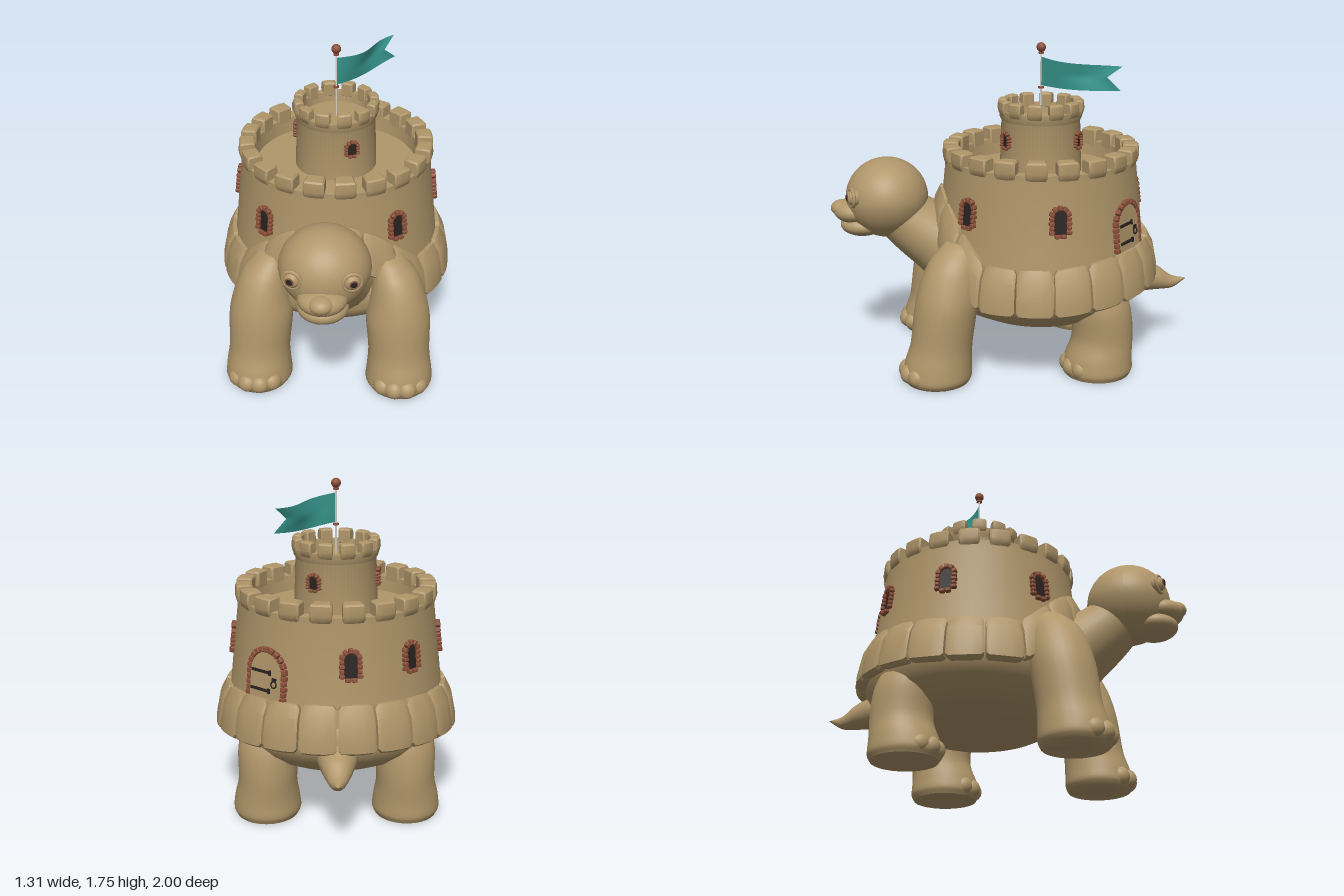
import * as THREE from 'three';
import { toCreasedNormals } from 'three/addons/utils/BufferGeometryUtils.js';
import { RoundedBoxGeometry } from 'three/addons/geometries/RoundedBoxGeometry.js';

const flat = (name, color, side = THREE.FrontSide) => {
  const m = new THREE.MeshStandardMaterial({ color, side });
  m.name = name;
  return m;
};

export function createModel() {
  const stone = flat('sandStone', 0xb0966a);
  const brick = flat('redBrick', 0x8c4f38);
  const dark = flat('darkOpening', 0x29221f);
  const teal = flat('tealCloth', 0x38998f, THREE.DoubleSide);
  const pale = flat('palePole', 0xdedbd2);
  const CZ = -0.155; // centre of shell and castle
  const model = new THREE.Group();
  model.name = 'castleTortoise';

  const add = (name, geo, mat, x = 0, y = 0, z = 0, parent = model) => {
    const m = new THREE.Mesh(geo, mat);
    m.name = name;
    m.position.set(x, y, z);
    parent.add(m);
    return m;
  };

  // Skin over closed loops of points, with a fan cap at both ends
  function skin(loops, crease) {
    const n = loops[0].length, pos = [], idx = [];
    loops.forEach(l => l.forEach(p => pos.push(p.x, p.y, p.z)));
    for (let j = 0; j < loops.length - 1; j++) for (let i = 0; i < n; i++) {
      const a = j * n + i, b = j * n + (i + 1) % n;
      idx.push(a, a + n, b + n, a, b + n, b);
    }
    [0, loops.length - 1].forEach((j, end) => {
      const c = loops[j].reduce((s, p) => s.add(p), new THREE.Vector3()).divideScalar(n);
      const k = pos.length / 3;
      pos.push(c.x, c.y, c.z);
      for (let i = 0; i < n; i++) {
        const a = j * n + i, b = j * n + (i + 1) % n;
        end ? idx.push(k, b, a) : idx.push(k, a, b);
      }
    });
    const g = new THREE.BufferGeometry();
    g.setAttribute('position', new THREE.Float32BufferAttribute(pos, 3));
    g.setIndex(idx);
    return toCreasedNormals(g, crease);
  }

  // Organic limb through elliptical rings [x, y, z, rx, rDepth, tilt]
  function limb(rings, steps = 24, sides = 28) {
    const mid = new THREE.CatmullRomCurve3(rings.map(r => new THREE.Vector3(r[0], r[1], r[2])));
    const size = new THREE.CatmullRomCurve3(rings.map(r => new THREE.Vector3(r[3], r[4], r[5] || 0)));
    const loops = [];
    for (let j = 0; j <= steps; j++) {
      const c = mid.getPoint(j / steps), s = size.getPoint(j / steps), loop = [];
      for (let i = 0; i < sides; i++) {
        const f = i / sides * Math.PI * 2, d = s.y * Math.sin(f);
        loop.push(new THREE.Vector3(c.x + s.x * Math.cos(f), c.y + d * Math.sin(s.z), c.z + d * Math.cos(s.z)));
      }
      loops.push(loop);
    }
    return skin(loops, 1.1);
  }

  // Block swept along an arc from a [radius, height] profile, softened at its ends
  function arcBlock(profile, a0, a1, warp = (a, r, y) => [r, y]) {
    const mr = profile.reduce((s, p) => s + p[0], 0) / profile.length;
    const my = profile.reduce((s, p) => s + p[1], 0) / profile.length;
    const loops = [[0, 0.84], [0.08, 1], [0.36, 1.02], [0.64, 1.02], [0.92, 1], [1, 0.84]].map(([t, k]) => {
      const a = a0 + (a1 - a0) * t;
      return profile.map(p => {
        const [r, y] = warp(a, mr + (p[0] - mr) * k, my + (p[1] - my) * k);
        return new THREE.Vector3(r * Math.sin(a), y, r * Math.cos(a));
      });
    });
    return skin(loops, 0.6);
  }

  const lathe = (pts, crease = 0.5, seg = 64) =>
    toCreasedNormals(new THREE.LatheGeometry(pts.map(p => new THREE.Vector2(p[0], p[1])), seg), crease);

  function ball(name, x, y, z, rx, ry, rz, mat = stone) {
    const m = add(name, new THREE.SphereGeometry(1, 32, 24), mat, x, y, z);
    m.scale.set(rx, ry, rz);
    return m;
  }

  // Belly and shell rim plates, the rim arching up over the neck
  add('belly', lathe([[0, 0.215], [0.12, 0.218], [0.25, 0.235], [0.37, 0.27], [0.47, 0.32], [0.55, 0.385],
    [0.6, 0.46], [0.59, 0.58], [0.5, 0.68]], 1), stone, 0, 0, CZ);
  const rimWarp = (a, r, y) => {
    const c = Math.cos(a), rise = Math.pow(Math.max(0, (c - 0.58) / 0.42), 1.2);
    return [r * (1 - 0.07 * rise), y + 0.31 * rise + 0.05 * Math.max(0, -c)];
  };
  const rim = [[0.56, 0.44], [0.635, 0.42], [0.655, 0.435], [0.652, 0.49], [0.63, 0.6], [0.595, 0.665], [0.545, 0.66]];
  const P = Math.PI / 10;
  for (let i = 0; i < 20; i++)
    add('shellPlate', arcBlock(rim, i * P + 0.008, (i + 1) * P - 0.008, rimWarp), stone, 0, 0, CZ);

  // Legs with toes
  for (const s of [1, -1]) {
    add('frontLeg', limb([[0.39 * s, 0.003, 0.44, 0.165, 0.17], [0.39 * s, 0.04, 0.44, 0.185, 0.185],
      [0.39 * s, 0.11, 0.435, 0.178, 0.18], [0.385 * s, 0.22, 0.415, 0.168, 0.165], [0.375 * s, 0.4, 0.39, 0.175, 0.168],
      [0.37 * s, 0.54, 0.365, 0.15, 0.16], [0.35 * s, 0.66, 0.34, 0.12, 0.13], [0.31 * s, 0.75, 0.3, 0.07, 0.08]]), stone);
    add('hindLeg', limb([[0.37 * s, 0.003, -0.43, 0.165, 0.175], [0.37 * s, 0.04, -0.43, 0.18, 0.19],
      [0.37 * s, 0.11, -0.435, 0.172, 0.182], [0.365 * s, 0.22, -0.455, 0.155, 0.165],
      [0.36 * s, 0.38, -0.44, 0.16, 0.165], [0.33 * s, 0.55, -0.4, 0.13, 0.14]]), stone);
    for (let i = 0; i < 4; i++) {
      const a = s * (-0.65 + i * 0.5), dx = Math.sin(a), dz = Math.cos(a);
      ball('frontToe', 0.39 * s + dx * 0.135, 0.06, 0.44 + dz * 0.155, 0.055, 0.055, 0.055);
      ball('hindToe', 0.37 * s + dx * 0.13, 0.058, -0.43 + dz * 0.155, 0.052, 0.053, 0.052);
    }
  }

  // Neck and tail
  add('neck', limb([[0, 0.5, 0.05, 0.36, 0.26, -0.7], [0, 0.59, 0.24, 0.27, 0.24, -0.75],
    [0, 0.69, 0.42, 0.215, 0.195, -0.8], [0, 0.8, 0.58, 0.18, 0.16, -0.8], [0, 0.9, 0.68, 0.16, 0.14, -0.8]]), stone);
  add('tail', limb([[0, 0.45, -0.58, 0.11, 0.09, 1.67], [0, 0.42, -0.74, 0.1, 0.088, 1.67],
    [0, 0.4, -0.84, 0.072, 0.066, 1.62], [0, 0.376, -0.92, 0.038, 0.035, 1.5], [0, 0.392, -1, 0.002, 0.002, 1.4]]), stone);

  // Head, narrowed towards the jaw
  const skull = new THREE.SphereGeometry(1, 40, 30), sp = skull.attributes.position;
  for (let i = 0; i < sp.count; i++) {
    const y = sp.getY(i), k = 0.235 * (1 - 0.1 * Math.max(0, -y));
    sp.setXYZ(i, sp.getX(i) * k, y * 0.22, sp.getZ(i) * 0.225);
  }
  skull.computeVertexNormals();
  add('head', skull, stone, 0, 0.92, 0.692);
  ball('upperLip', 0, 0.85, 0.87, 0.125, 0.068, 0.115);
  ball('nose', 0, 0.865, 0.935, 0.065, 0.045, 0.065);
  ball('lowerJaw', 0, 0.773, 0.825, 0.13, 0.064, 0.125);
  for (const s of [1, -1]) {
    const eye = new THREE.Group();
    eye.name = 'eye';
    eye.position.set(0.143 * s, 0.957, 0.86);
    eye.rotation.y = 0.3 * s;
    model.add(eye);
    const cap = (r, t) => new THREE.SphereGeometry(r, 20, 8, 0, Math.PI * 2, 0, t).rotateX(Math.PI / 2);
    add('eyeball', new THREE.SphereGeometry(0.045, 24, 16), stone, 0, 0, 0, eye);
    add('iris', cap(0.0465, 0.5), brick, 0, 0.005, 0, eye);
    add('pupil', cap(0.048, 0.34), dark, 0, 0.005, 0, eye);
    add('eyelid', new THREE.TorusGeometry(0.046, 0.01, 10, 28), stone, 0, 0, 0.014, eye);
  }

  // Keep and tower walls with sunken floors
  add('keepWall', lathe([[0.585, 0.55], [0.57, 0.68], [0.525, 1.1], [0.525, 1.145], [0.455, 1.145], [0.445, 1.06], [0, 1.06]]), stone, 0, 0, CZ);
  add('towerWall', lathe([[0.225, 1.05], [0.215, 1.34], [0.225, 1.36], [0.225, 1.395], [0.188, 1.395], [0.182, 1.34], [0, 1.34]]), stone, 0, 0, CZ);
  function battlement(name, count, rIn, rOut, y0, y1, fill) {
    const step = Math.PI * 2 / count, b = 0.008;
    const profile = [[rIn, y0 + 0.02], [rOut - 0.025, y0], [rOut - 0.004, y0 + 0.02], [rOut + 0.004, y0 + 0.05],
      [rOut, y1 - b], [rOut - b, y1], [rIn + b, y1], [rIn, y1 - b]];
    for (let i = 0; i < count; i++)
      add(name, arcBlock(profile, (i + 0.5 - fill / 2) * step, (i + 0.5 + fill / 2) * step), stone, 0, 0, CZ);
  }
  battlement('keepMerlon', 20, 0.45, 0.535, 1.105, 1.213, 0.68);
  battlement('towerMerlon', 12, 0.183, 0.233, 1.355, 1.45, 0.66);

  // Arched openings: panel plus brick surround, origin at the sill
  function archShape(w, h) {
    const s = new THREE.Shape();
    s.moveTo(-w, 0);
    s.lineTo(w, 0);
    s.lineTo(w, h);
    s.absarc(0, h, w, 0, Math.PI, false);
    return s;
  }
  function opening(name, deg, r, y, tilt, w, h, t, rows, arch, sill) {
    const g = new THREE.Group(), a = THREE.MathUtils.degToRad(deg);
    g.name = name;
    g.position.set(r * Math.sin(a), y, CZ + r * Math.cos(a));
    g.rotation.set(-tilt, a, 0, 'YXZ');
    model.add(g);
    const sag = x => -x * x / (2 * r); // follow the round wall
    const put = (x, py, bw, bh, rot) => {
      add('brick', new RoundedBoxGeometry(bw, bh, 0.036, 1, 0.006), brick, x, py, 0.004 + sag(x), g).rotation.z = rot;
    };
    for (const s of [1, -1]) for (let i = 0; i < rows; i++)
      put(s * (w + t / 2), (i + 0.5) * h / rows, t * (i % 2 ? 0.9 : 1.1), h / rows - 0.003, 0);
    for (let i = 0; i < arch; i++) {
      const f = (i + 0.5) / arch * Math.PI, m = w + t / 2;
      put(m * Math.cos(f), h + m * Math.sin(f), t, m * Math.PI / arch - 0.003, f);
    }
    if (sill) for (const s of [1, -1]) put(s * w * 0.5, -t * 0.3, w - 0.003, t * 0.8, 0);
    return g;
  }
  for (const deg of [40, -40, 94, -93, -137, -173]) {
    const g = opening('keepWindow', deg, 0.553, 0.845, 0.107, 0.032, 0.095, 0.026, 4, 5, true);
    add('windowOpening', new THREE.ShapeGeometry(archShape(0.034, 0.095)), dark, 0, 0, 0.004, g);
  }
  for (const deg of [26, 148, -98]) {
    const g = opening('towerWindow', deg, 0.219, 1.205, 0.035, 0.024, 0.045, 0.019, 3, 5, true);
    add('windowOpening', new THREE.ShapeGeometry(archShape(0.026, 0.045)), dark, 0, 0, 0.004, g);
  }

  // Door with iron straps and a latch ring
  const door = opening('door', 140, 0.567, 0.7, 0.107, 0.102, 0.14, 0.028, 5, 11, false);
  add('doorPanel', new THREE.ExtrudeGeometry(archShape(0.102, 0.14), { depth: 0.024, bevelEnabled: false }), stone, 0, 0, -0.018, door);
  for (const y of [0.045, 0.14]) {
    add('strap', new THREE.BoxGeometry(0.125, 0.014, 0.008), dark, -0.03, y, 0.009, door);
    add('strapEnd', new THREE.BoxGeometry(0.014, 0.026, 0.009), dark, 0.028, y, 0.009, door);
  }
  add('latch', new THREE.BoxGeometry(0.026, 0.02, 0.008), dark, 0.06, 0.108, 0.009, door);
  add('latchRing', new THREE.TorusGeometry(0.017, 0.004, 6, 16), dark, 0.06, 0.085, 0.011, door);

  // Flagpole and waving swallow-tailed flag
  add('flagpole', new THREE.CylinderGeometry(0.005, 0.005, 0.37, 8), pale, 0, 1.525, CZ);
  add('finial', new THREE.SphereGeometry(0.026, 10, 8), brick, 0, 1.73, CZ);
  for (const y of [1.7, 1.513])
    add('poleCollar', new THREE.CylinderGeometry(0.016, 0.016, 0.01, 10), brick, 0, y, CZ);
  const cloth = new THREE.PlaneGeometry(1, 1, 24, 8), cp = cloth.attributes.position;
  for (let i = 0; i < cp.count; i++) {
    const u = cp.getX(i) + 0.5, v = cp.getY(i);
    const len = u * (0.485 - 0.085 * (1 - Math.abs(2 * v)));
    cp.setXYZ(i, len, v * (0.155 - 0.03 * u) - 0.012 * Math.sin(u * 3), 0.02 * Math.sin(u * 5.5) * (1 + v));
  }
  cloth.computeVertexNormals();
  add('flag', cloth, teal, 0.004, 1.602, CZ).rotation.y = 0.875;

  return model;
}
